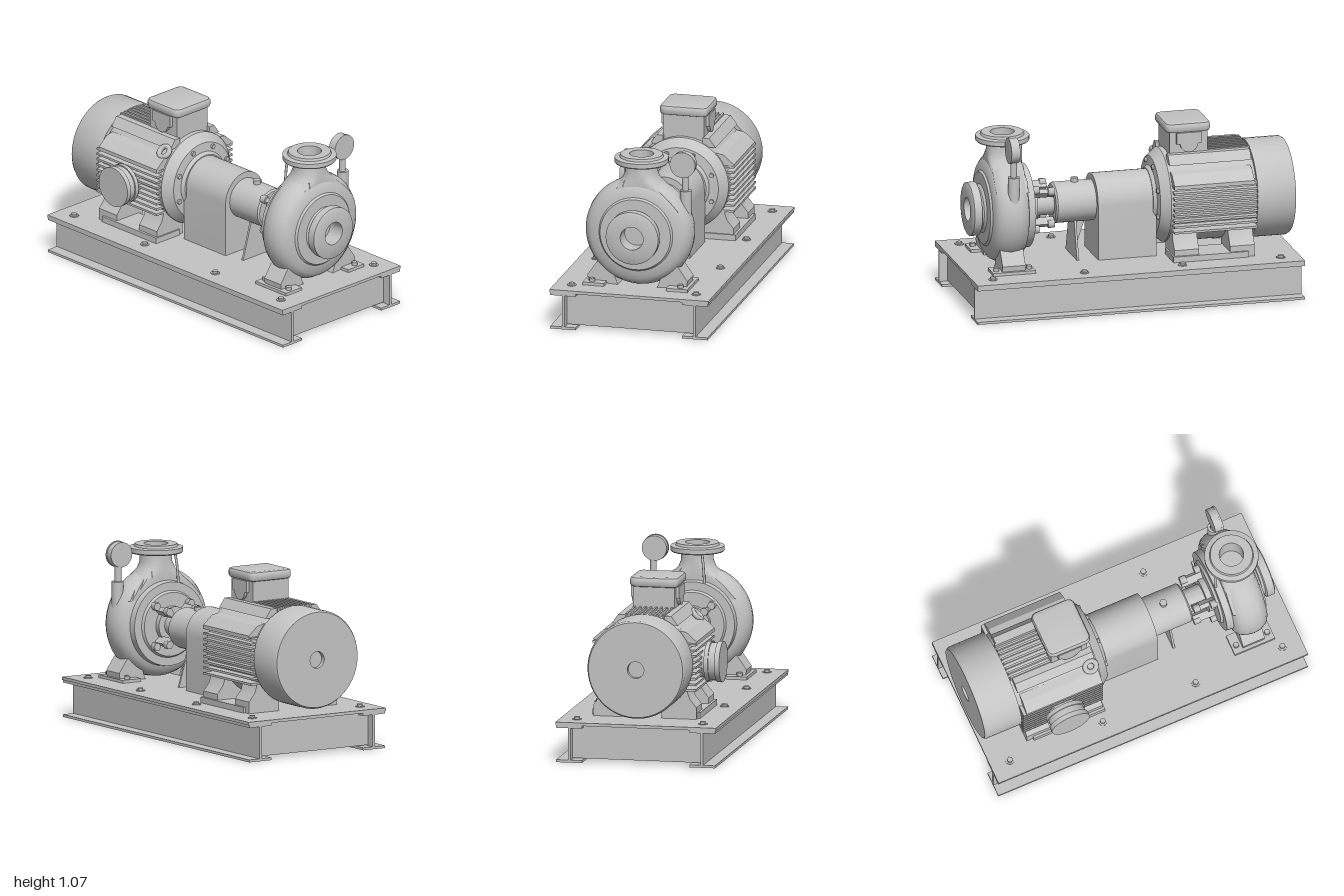
import * as THREE from 'three';
import { toCreasedNormals } from 'three/addons/utils/BufferGeometryUtils.js';

const AXIS = 0.57; // shaft height

export function createModel() {
  const root = new THREE.Group();
  root.name = 'pumpSet';
  const grey = new THREE.MeshStandardMaterial({ color: 0xc4c4c4 });
  grey.name = 'machine grey';

  const add = (name, geo, parent = root) => {
    const m = new THREE.Mesh(geo, grey);
    m.name = name;
    parent.add(m);
    return m;
  };
  // box given by its limits
  const box = (name, x0, x1, y0, y1, z0, z1) =>
    add(name, new THREE.BoxGeometry(x1 - x0, y1 - y0, Math.abs(z1 - z0))
      .translate((x0 + x1) / 2, (y0 + y1) / 2, (z0 + z1) / 2));
  // turned part on the shaft line, points are [x, radius]
  const turned = (name, pts, seg = 48) =>
    add(name, toCreasedNormals(
      new THREE.LatheGeometry(pts.map(([x, r]) => new THREE.Vector2(r, x)), seg)
        .rotateZ(-Math.PI / 2).translate(0, AXIS, 0), 0.6));
  // profile of [z, y] points swept from x0 to x1
  const sweepX = (name, pts, x0, x1) =>
    add(name, toCreasedNormals(
      new THREE.ExtrudeGeometry(new THREE.Shape(pts.map(([z, y]) => new THREE.Vector2(-z, y))),
        { depth: x1 - x0, bevelEnabled: false })
        .rotateY(Math.PI / 2).translate(x0, 0, 0), 0.5));
  const cyl = (name, r, h, x, y, z, axis = 'y', seg = 24) => {
    const g = new THREE.CylinderGeometry(r, r, h, seg);
    if (axis === 'x') g.rotateZ(Math.PI / 2);
    if (axis === 'z') g.rotateX(Math.PI / 2);
    return add(name, g.translate(x, y, z));
  };

  // Base frame: deck, two I-beams and three cross members
  box('deckPlate', -1, 1, 0.222, 0.24, -0.485, 0.485);
  for (const s of [1, -1]) {
    box('beamTopFlange', -1, 1, 0.206, 0.222, s * 0.325, s * 0.48);
    box('beamWeb', -1, 1, 0.014, 0.206, s * 0.392, s * 0.408);
    box('beamBottomFlange', -1, 1, 0, 0.015, s * 0.325, s * 0.48);
    for (const x of [-0.88, -0.28, 0.32, 0.88]) {
      cyl('deckWasher', 0.027, 0.005, x, 0.242, s * 0.38, 'y', 16);
      cyl('deckBolt', 0.018, 0.016, x, 0.248, s * 0.38, 'y', 6);
    }
  }
  for (const x of [-0.94, 0, 0.94]) {
    box('crossMember', x - 0.01, x + 0.01, 0.02, 0.222, -0.392, 0.392);
  }

  // Motor: fan cover, core, end shield
  turned('fanCover', [[-0.97, 0], [-0.97, 0.05], [-1, 0.05], [-1, 0.285], [-0.985, 0.294],
    [-0.765, 0.294], [-0.765, 0]]);
  turned('motorCore', [[-0.78, 0], [-0.78, 0.265], [-0.74, 0.282], [-0.24, 0.282], [-0.22, 0.265],
    [-0.185, 0.235], [-0.18, 0.18], [-0.16, 0.165], [-0.16, 0]]);
  for (let i = 0; i < 9; i++) {
    const y = 0.41 + i * 0.034;
    for (const s of [1, -1]) box('sideFin', -0.76, -0.25, y, y + 0.013, s * 0.2, s * 0.312);
  }
  for (let i = 0; i < 8; i++) {
    const z = -0.112 + i * 0.032;
    box('topFin', -0.76, -0.27, 0.78, 0.862, z - 0.006, z + 0.006);
  }
  for (const s of [1, -1]) {
    // corner rails beside the fins
    sweepX('cornerRail', [[s * 0.12, 0.8], [s * 0.12, 0.855], [s * 0.16, 0.855], [s * 0.2, 0.8]], -0.75, -0.25);
    sweepX('sideRail', [[s * 0.2, 0.7], [s * 0.2, 0.77], [s * 0.25, 0.76], [s * 0.312, 0.705], [s * 0.312, 0.695]], -0.74, -0.25);
    box('motorFootPlate', -0.7, -0.24, 0.24, 0.275, s * 0.13, s * 0.325);
    for (const x of [-0.74, -0.4]) {
      sweepX('motorFoot', [[s * 0.1, 0.24], [s * 0.31, 0.24], [s * 0.31, 0.31], [s * 0.27, 0.36],
        [s * 0.25, 0.42], [s * 0.1, 0.42]], x, x + 0.15);
    }
  }

  // Terminal box on top
  box('terminalBox', -0.5, -0.27, 0.8, 0.98, -0.125, 0.125);
  const lid = new THREE.Shape();
  const a = 0.115, b = 0.125, c = 0.02;
  lid.moveTo(-a + c, -b).lineTo(a - c, -b).quadraticCurveTo(a, -b, a, -b + c)
    .lineTo(a, b - c).quadraticCurveTo(a, b, a - c, b)
    .lineTo(-a + c, b).quadraticCurveTo(-a, b, -a, b - c)
    .lineTo(-a, -b + c).quadraticCurveTo(-a, -b, -a + c, -b);
  add('terminalLid', toCreasedNormals(new THREE.ExtrudeGeometry(lid,
    { depth: 0.025, bevelSize: 0.022, bevelThickness: 0.018, bevelSegments: 2, curveSegments: 4 })
    .rotateX(-Math.PI / 2).translate(-0.383, 0.996, 0), 0.5));
  for (const s of [1, -1]) {
    box('cablePlate', -0.46, -0.31, 0.91, 0.98, s * 0.12, s * 0.145);
    cyl('cablePort', 0.055, 0.02, -0.385, 0.915, s * 0.135, 'z');
  }

  // Round side box and lifting eye
  cyl('sideBoxNeck', 0.095, 0.12, -0.505, 0.55, 0.3, 'z', 32);
  cyl('sideBoxRim', 0.12, 0.025, -0.505, 0.55, 0.34, 'z', 32);
  cyl('sideBoxBody', 0.112, 0.05, -0.505, 0.55, 0.37, 'z', 32);
  cyl('sideBoxCap', 0.122, 0.03, -0.505, 0.55, 0.407, 'z', 32);
  add('liftingEye', new THREE.TorusGeometry(0.035, 0.016, 8, 20)
    .rotateX(-0.8).translate(-0.285, 0.785, 0.215));
  for (let i = 0; i < 8; i++) {
    const t = (i + 0.5) * Math.PI / 4;
    cyl('shieldBolt', 0.015, 0.03, -0.185, AXIS + 0.21 * Math.sin(t), 0.21 * Math.cos(t), 'x', 6);
  }

  // Coupling guard: arch standing on the deck
  const arch = [[0.155, 0.24]];
  for (let i = 0; i <= 20; i++) {
    const t = i * Math.PI / 20;
    arch.push([0.155 * Math.cos(t), AXIS + 0.16 * Math.sin(t)]);
  }
  arch.push([-0.155, 0.24]);
  sweepX('couplingGuard', arch, -0.18, 0.175);

  // Bearing housing, its stand and the yoke to the pump
  turned('bearingHousing', [[0.16, 0], [0.16, 0.122], [0.41, 0.122], [0.42, 0.112], [0.42, 0.07],
    [0.53, 0.07], [0.53, 0.11], [0.57, 0.11], [0.57, 0]]);
  cyl('breather', 0.022, 0.03, 0.28, 0.7, 0, 'y', 12);
  sweepX('standPlate', [[-0.13, 0.24], [0.13, 0.24], [0.06, 0.48], [-0.06, 0.48]], 0.285, 0.298);
  const web = new THREE.Shape([[0.21, 0.48], [0.29, 0.48], [0.29, 0.24]].map((p) => new THREE.Vector2(...p)));
  add('standWeb', new THREE.ExtrudeGeometry(web, { depth: 0.016, bevelEnabled: false }).translate(0, 0, -0.008));
  for (let i = 0; i < 4; i++) {
    const t = Math.PI / 4 + i * Math.PI / 2;
    const strut = add('yokeStrut', new THREE.BoxGeometry(0.14, 0.05, 0.03).translate(0.5, 0.125, 0));
    strut.position.y = AXIS;
    strut.rotation.x = t;
    cyl('yokeNut', 0.025, 0.04, 0.45, AXIS + 0.14 * Math.cos(t), 0.14 * Math.sin(t), 'x', 6);
    cyl('coverNut', 0.025, 0.04, 0.55, AXIS + 0.17 * Math.cos(t), 0.17 * Math.sin(t), 'x', 6);
  }

  // Pump casing with suction flange
  turned('pumpCasing', [[0.565, 0], [0.565, 0.19], [0.58, 0.2], [0.58, 0.25], [0.622, 0.255],
    [0.63, 0.28], [0.65, 0.305], [0.685, 0.322], [0.73, 0.328], [0.775, 0.322], [0.81, 0.303],
    [0.83, 0.275], [0.838, 0.225], [0.85, 0.215], [0.852, 0.145], [0.865, 0.13], [0.878, 0.14], [0.883, 0.16],
    [0.93, 0.16], [0.935, 0.152], [0.935, 0.07], [0.83, 0.07], [0.83, 0]], 64);

  // Discharge neck, flared along z only, with its flange
  const neck = new THREE.LatheGeometry([[0.27, 0.72], [0.22, 0.785], [0.155, 0.845], [0.112, 0.89], [0.096, 0.93],
    [0.096, 0.98], [0.155, 0.982], [0.16, 0.988], [0.16, 1.015], [0.13, 1.02], [0.125, 1.035],
    [0.072, 1.035], [0.072, 0.9], [0, 0.9]].map((p) => new THREE.Vector2(...p)), 48);
  const p = neck.attributes.position;
  for (let i = 0; i < p.count; i++) {
    if (p.getY(i) < 0.95) p.setX(i, THREE.MathUtils.clamp(p.getX(i), -0.1, 0.1));
  }
  add('dischargeNeck', toCreasedNormals(neck, 0.6).translate(0.722, 0, -0.005));

  // Pump feet
  for (const s of [1, -1]) {
    box('pumpFootPlate', 0.6, 0.86, 0.24, 0.258, s * 0.19, s * 0.32);
    sweepX('pumpFootRib', [[s * 0.12, 0.24], [s * 0.3, 0.25], [s * 0.305, 0.29], [s * 0.25, 0.37], [s * 0.18, 0.4]], 0.66, 0.8);
    for (const x of [0.63, 0.83]) cyl('footBolt', 0.018, 0.025, x, 0.265, s * 0.27, 'y', 6);
  }

  // Small balance pipe beside the neck
  add('balancePipe', new THREE.TubeGeometry(new THREE.CatmullRomCurve3([
    new THREE.Vector3(0.6, 0.985, 0.05), new THREE.Vector3(0.592, 0.9, 0.06),
    new THREE.Vector3(0.59, 0.74, 0.07)]), 10, 0.008, 8));

  // Pressure gauge on its stem
  cyl('gaugeBoss', 0.035, 0.16, 0.725, 0.75, -0.275, 'y', 16);
  cyl('gaugeStem', 0.02, 0.13, 0.725, 0.87, -0.272, 'y', 12);
  cyl('gaugeCollar', 0.027, 0.02, 0.725, 0.93, -0.27, 'y', 6);
  cyl('gaugeCase', 0.075, 0.05, 0.725, 0.99, -0.262, 'x', 28);
  cyl('gaugeRim', 0.078, 0.012, 0.748, 0.99, -0.262, 'x', 28);
  return root;
}
